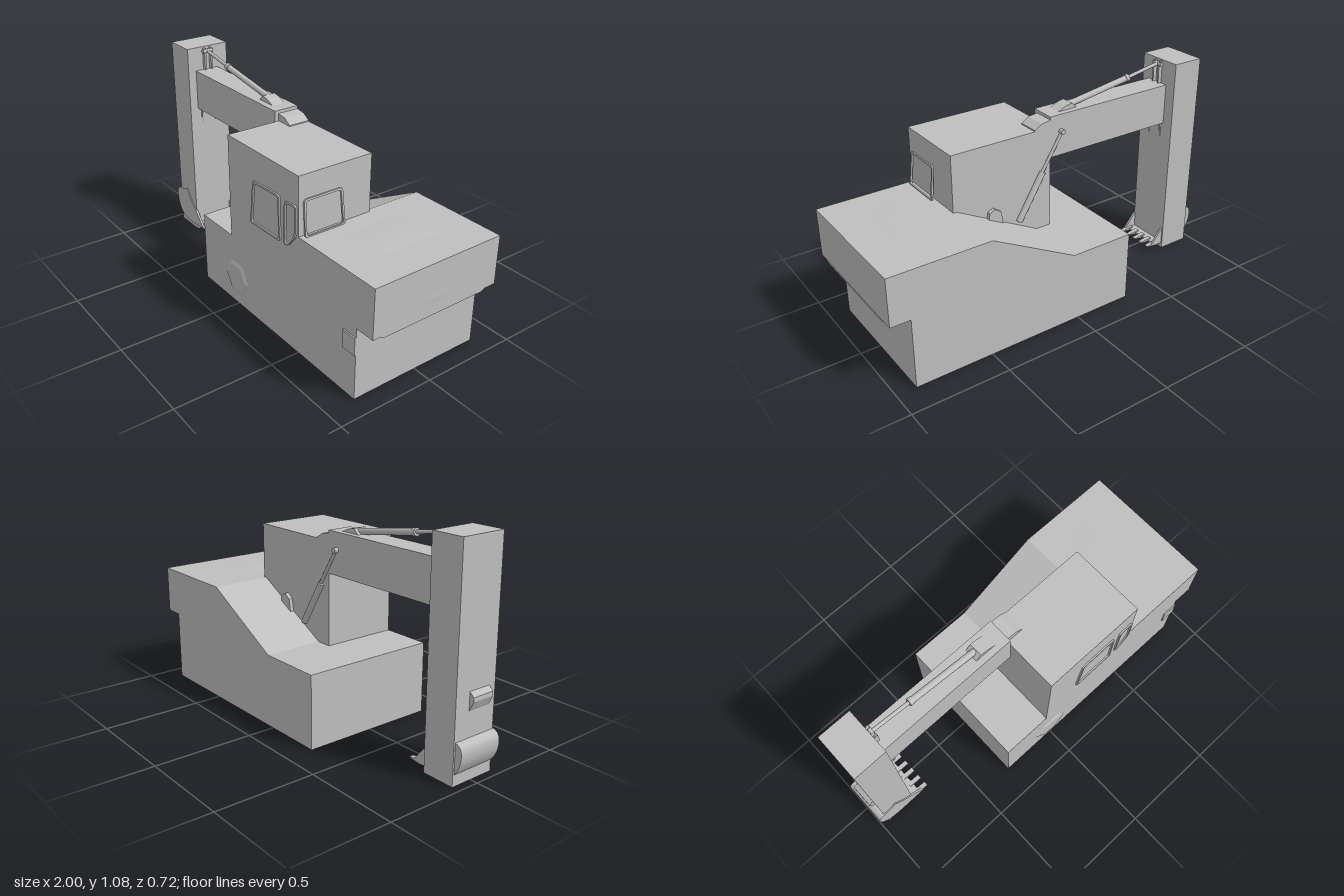
import * as THREE from 'three';

const grey = new THREE.MeshStandardMaterial({ color: 0xbfbfbf });
grey.name = 'grey';

export function createModel() {
  const model = new THREE.Group();
  model.name = 'excavator';

  const add = (name, geometry, parent = model) => {
    const mesh = new THREE.Mesh(geometry, grey);
    mesh.name = name;
    parent.add(mesh);
    return mesh;
  };
  // Box given by its limits on each axis
  const box = (name, [x0, x1], [y0, y1], [z0, z1], parent) => {
    const g = new THREE.BoxGeometry(x1 - x0, y1 - y0, z1 - z0);
    g.translate((x0 + x1) / 2, (y0 + y1) / 2, (z0 + z1) / 2);
    return add(name, g, parent);
  };
  const vecs = (pts) => pts.map(([x, y]) => new THREE.Vector2(x, y));
  // Side profile (x, y) drawn out from z0 to z1
  const slab = (name, pts, z0, z1, parent) => {
    const g = new THREE.ExtrudeGeometry(new THREE.Shape(vecs(pts)), { depth: z1 - z0, bevelEnabled: false });
    g.translate(0, 0, z0);
    return add(name, g, parent);
  };
  // Cylinder between two points
  const rod = (name, a, b, r, parent, sides = 16) => {
    const p = new THREE.Vector3(...a), q = new THREE.Vector3(...b);
    const d = q.clone().sub(p);
    const m = add(name, new THREE.CylinderGeometry(r, r, d.length(), sides), parent);
    m.position.copy(p).add(q).multiplyScalar(0.5);
    m.quaternion.setFromUnitVectors(new THREE.Vector3(0, 1, 0), d.normalize());
    return m;
  };
  // Polygon path with rounded corners
  const rounded = (path, pts, r) => {
    const v = vecs(pts), n = v.length;
    v.forEach((c, i) => {
      const toPrev = v[(i + n - 1) % n].clone().sub(c).setLength(r).add(c);
      const toNext = v[(i + 1) % n].clone().sub(c).setLength(r).add(c);
      if (i === 0) path.moveTo(toPrev.x, toPrev.y);
      else path.lineTo(toPrev.x, toPrev.y);
      path.quadraticCurveTo(c.x, c.y, toNext.x, toNext.y);
    });
    path.closePath();
    return path;
  };
  // Window surround: rounded outline with a smaller opening
  const frame = (pts, width, depth) => {
    const cx = pts.reduce((s, p) => s + p[0], 0) / pts.length;
    const cy = pts.reduce((s, p) => s + p[1], 0) / pts.length;
    const inner = pts.map(([x, y]) => [x - Math.sign(x - cx) * width, y - Math.sign(y - cy) * width]);
    const shape = rounded(new THREE.Shape(), pts, 0.018);
    shape.holes.push(rounded(new THREE.Path(), inner, 0.013));
    return new THREE.ExtrudeGeometry(shape, { depth, bevelEnabled: false, curveSegments: 5 });
  };
  // Shallow smooth bulge in the xz plane, rising along y, closed at its rim
  const bulge = (w, d, h) => {
    const g = new THREE.PlaneGeometry(w, d, 12, 12);
    g.rotateX(-Math.PI / 2);
    const p = g.attributes.position;
    for (let i = 0; i < p.count; i++) {
      const u = (2 * p.getX(i)) / w, v = (2 * p.getZ(i)) / d;
      p.setY(i, h * (1 - u * u) * (1 - v * v) + 0.001);
    }
    g.computeVertexNormals();
    return g;
  };

  // Body with overhanging rear and sloping deck
  slab('body', [[-0.31, 0], [0.9, 0], [0.9, 0.365], [1, 0.365], [1, 0.61], [0.483, 0.61], [0.03, 0.37], [-0.31, 0.37]], -0.36, 0.35);
  slab('cab', [[-0.05, 0.37], [0.03, 0.37], [0.483, 0.61], [0.5, 0.61], [0.5, 0.9], [-0.05, 0.9]], -0.05, 0.35);
  add('hoodBulge', bulge(0.23, 0.46, 0.005)).position.set(0.715, 0.61, 0);
  const tail = add('tailBulge', bulge(0.1, 0.44, 0.004));
  tail.rotation.z = -Math.PI / 2;
  tail.position.set(0.996, 0.44, 0.005);

  // Tapered lip below the overhang
  const lip = new THREE.Shape(vecs([[-0.32, 0.366], [-0.29, 0.352], [0.28, 0.352], [0.31, 0.366]]));
  const lipGeo = new THREE.ExtrudeGeometry(lip, { depth: 0.095, bevelEnabled: false });
  lipGeo.rotateY(Math.PI / 2);
  add('rearLip', lipGeo).position.x = 0.903;

  // Low hexagonal cover and latch on the front face
  const hex = new THREE.CylinderGeometry(0.08, 0.1, 0.008, 6).toNonIndexed();
  hex.computeVertexNormals();
  hex.rotateX(Math.PI / 2);
  hex.rotateZ(Math.PI / 6);
  add('hexCover', hex).position.set(-0.01, 0.145, 0.354);
  box('latchPlate', [0.82, 0.9], [0.23, 0.32], [0.34, 0.357]);

  // Cab windows
  const windows = new THREE.Group();
  windows.name = 'cabWindows';
  model.add(windows);
  const door = [[0.135, 0.525], [0.37, 0.53], [0.367, 0.757], [0.16, 0.75]];
  const quarter = [[0.398, 0.535], [0.43, 0.535], [0.488, 0.605], [0.49, 0.757], [0.405, 0.75]];
  for (const [name, pts] of [['doorWindow', door], ['quarterWindow', quarter]])
    add(name, frame(pts, 0.01, 0.009), windows).position.z = 0.349;
  const endGeo = frame([[-0.33, 0], [-0.11, 0], [-0.115, 0.18], [-0.325, 0.18]], 0.01, 0.009);
  endGeo.rotateY(Math.PI / 2);
  const endWindow = add('endWindow', endGeo, windows);
  endWindow.position.set(0.516, 0.605, 0);
  endWindow.rotation.z = 0.1;

  // Boom and its mount on the cab roof
  box('boom', [-0.79, -0.05], [0.74, 0.953], [-0.05, 0.082]);
  slab('boomMount', [[-0.05, 0.88], [0.045, 0.88], [0.04, 0.905], [0, 0.93], [-0.05, 0.937]], -0.05, 0.062);

  // Cylinder along the top of the boom
  const boomRam = new THREE.Group();
  boomRam.name = 'boomRam';
  model.add(boomRam);
  rod('ramRod', [-0.79, 1.058, 0.012], [-0.57, 1.02, 0.012], 0.009, boomRam);
  rod('ramBarrel', [-0.58, 1.021, 0.012], [-0.17, 0.958, 0.012], 0.016, boomRam);
  rod('ramCollar', [-0.58, 1.021, 0.012], [-0.56, 1.018, 0.012], 0.019, boomRam);
  slab('ramFoot', [[-0.23, 0.95], [-0.11, 0.95], [-0.16, 0.972], [-0.2, 0.98]], -0.02, 0.05, boomRam);
  for (const z of [-0.012, 0.026])
    slab('ramLug', [[-0.8, 0.955], [-0.77, 0.955], [-0.768, 1.03], [-0.775, 1.07], [-0.8, 1.075]], z, z + 0.01, boomRam);
  rod('ramPin', [-0.78, 1.056, -0.018], [-0.78, 1.056, 0.042], 0.01, boomRam);

  // Cylinder on the back of the cab
  const hoist = new THREE.Group();
  hoist.name = 'hoistRam';
  model.add(hoist);
  rod('hoistRod', [-0.11, 0.86, -0.058], [0.01, 0.67, -0.058], 0.008, hoist);
  rod('hoistBarrel', [0, 0.68, -0.056], [0.14, 0.45, -0.056], 0.016, hoist);
  rod('hoistEye', [-0.112, 0.866, -0.072], [-0.112, 0.866, -0.04], 0.013, hoist);
  slab('pivotCover', [[0.24, 0.48], [0.32, 0.52], [0.315, 0.555], [0.285, 0.57], [0.25, 0.545]], -0.07, -0.045);

  // Stick with small brackets
  box('stick', [-0.96, -0.79], [0, 1.08], [-0.112, 0.127]);
  for (const z of [-0.035, 0.05])
    slab('boomBracket', [[-0.795, 0.64], [-0.788, 0.66], [-0.778, 0.745], [-0.795, 0.745]], z, z + 0.012);
  slab('bucketLink', [[-0.955, 0.32], [-0.965, 0.335], [-0.984, 0.375], [-0.983, 0.395], [-0.955, 0.42]], -0.03, 0.09);

  // Bucket: curved shell, side plates and teeth
  const bucket = new THREE.Group();
  bucket.name = 'bucket';
  model.add(bucket);
  const back = new THREE.SplineCurve(vecs([[-0.92, 0.208], [-0.972, 0.2], [-0.995, 0.17], [-0.99, 0.11], [-0.955, 0.05], [-0.9, 0.027], [-0.85, 0.025]]));
  const outer = back.getPoints(24).map((p) => [p.x, p.y]);
  const inner = outer.map(([x, y]) => [-0.89 + (x + 0.89) * 0.92, 0.13 + (y - 0.13) * 0.92]).reverse();
  slab('bucketShell', [...outer, ...inner], -0.104, 0.128, bucket);
  const side = [...outer, [-0.76, 0.03], [-0.72, 0.037], [-0.775, 0.105], [-0.84, 0.165], [-0.885, 0.228]];
  for (const z of [-0.104, 0.121]) slab('bucketSide', side, z, z + 0.012, bucket);
  slab('bucketFloor', [[-0.9, 0.024], [-0.74, 0.027], [-0.74, 0.037], [-0.9, 0.04]], -0.104, 0.13, bucket);
  for (let i = 0; i < 5; i++) {
    const z = -0.103 + i * 0.052;
    slab('tooth', [[-0.76, 0.024], [-0.69, 0.032], [-0.69, 0.036], [-0.76, 0.045]], z, z + 0.024, bucket);
  }

  return model;
}
